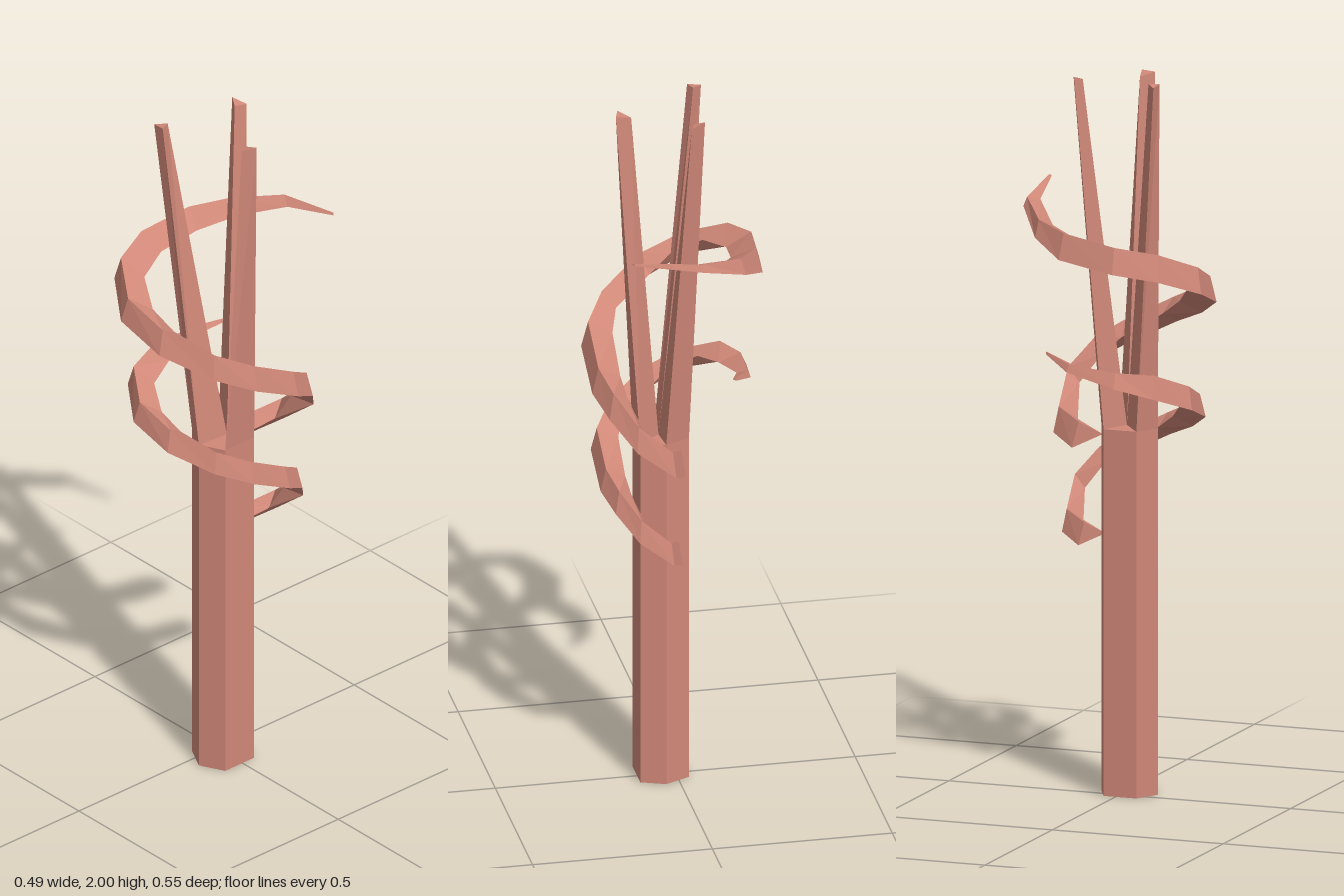
import * as THREE from 'three';

const material = new THREE.MeshStandardMaterial({ color: 0xd08878, flatShading: true });

// Skin a list of equal-length rings of [x, y, z] corners and cap both ends.
// Rings run counter-clockwise when looked at from the far end.
function loft(name, rings) {
  const pos = [];
  const tri = (a, b, c) => pos.push(...a, ...b, ...c);
  const n = rings[0].length;
  for (let i = 0; i < rings.length - 1; i++) {
    const a = rings[i], b = rings[i + 1];
    for (let j = 0; j < n; j++) {
      const k = (j + 1) % n;
      tri(a[j], a[k], b[k]);
      tri(a[j], b[k], b[j]);
    }
  }
  const first = rings[0], last = rings[rings.length - 1];
  for (let j = 1; j < n - 1; j++) {
    tri(first[0], first[j + 1], first[j]);
    tri(last[0], last[j], last[j + 1]);
  }
  const geometry = new THREE.BufferGeometry();
  geometry.setAttribute('position', new THREE.Float32BufferAttribute(pos, 3));
  geometry.computeVertexNormals();
  const mesh = new THREE.Mesh(geometry, material);
  mesh.name = name;
  return mesh;
}

// Uneven hexagonal outline of the stem [x, z]
const hexagon = [
  [0.106, 0.062], [0.106, -0.043], [0.039, -0.069],
  [-0.031, -0.035], [-0.031, 0.061], [0.037, 0.097],
];
const stemTop = 1.02;
const core = [0.046, stemTop, 0.003];

// Tips of the three prongs: inner corner, then the two outer ones [x, y, z]
const prongTips = [
  [[0.12, 1.975, 0.012], [0.152, 1.985, 0.043], [0.165, 1.985, 0]],
  [[-0.033, 1.99, -0.095], [-0.02, 1.99, -0.127], [-0.06, 2, -0.11]],
  [[-0.073, 2, 0.113], [-0.1, 1.995, 0.138], [-0.062, 2, 0.141]],
];

// Vine course: outer x, z, inner x, z, height
const vinePath = [
  [0.0, -0.14, 0.04, -0.065, 0.99],
  [0.04, -0.21, 0.07, -0.15, 1.02],
  [0.15, -0.22, 0.12, -0.165, 1.11],
  [0.215, -0.16, 0.155, -0.11, 1.19],
  [0.247, -0.08, 0.165, -0.06, 1.235],
  [0.247, 0.07, 0.162, 0.06, 1.31],
  [0.18, 0.17, 0.14, 0.12, 1.355],
  [0.06, 0.26, 0.035, 0.185, 1.415],
  [-0.085, 0.272, -0.03, 0.205, 1.465],
  [-0.205, 0.19, -0.11, 0.165, 1.515],
  [-0.247, 0.075, -0.155, 0.065, 1.535],
  [-0.225, -0.09, -0.143, -0.055, 1.56],
  [-0.16, -0.185, -0.09, -0.16, 1.59],
  [-0.03, -0.27, 0.02, -0.24, 1.635],
  [0.168, -0.275, 0.178, -0.268, 1.668],
];

// Three-sided vine: inner, outer bottom and outer top corner, tapering at the end
function vine(name, count, spread, startY, rise) {
  const centreX = 0.04;
  const rings = vinePath.slice(0, count).map(([ox, oz, ix, iz, h], i) => {
    const left = count - 1 - i;
    const size = Math.max(0.1, Math.min(1, left / 3)) * spread;
    const half = 0.036 * size;
    const y = startY + (h - vinePath[0][4]) * rise;
    const sx = (x) => centreX + (x - centreX) * spread;
    const width = count < vinePath.length ? Math.max(0.15, Math.min(1, left / 2)) : 1;
    const inX = ox + (ix - ox) * width, inZ = oz + (iz - oz) * width;
    const topX = ox + (inX - ox) * 0.22, topZ = oz + (inZ - oz) * 0.22;
    return [
      [sx(inX), y, inZ * spread],
      [sx(ox), y - half, oz * spread],
      [sx(topX), y + half, topZ * spread],
    ];
  });
  return loft(name, rings);
}

export function createModel() {
  const group = new THREE.Group();
  group.name = 'stemWithVines';

  // Straight stem
  group.add(loft('stem', [0, stemTop].map((y) => hexagon.map(([x, z]) => [x, y, z]))));

  // Prongs rise from every second wedge of the stem top
  prongTips.forEach((tip, i) => {
    const [a, b] = [hexagon[2 * i], hexagon[2 * i + 1]];
    const base = [core, [a[0], stemTop, a[1]], [b[0], stemTop, b[1]]];
    group.add(loft('prong' + (i + 1), [base, tip]));
  });

  // Two vines winding round the stem and prongs
  group.add(vine('upperVine', 15, 1, 0.99, 1));
  group.add(vine('lowerVine', 13, 0.88, 0.715, 0.88));
  return group;
}
